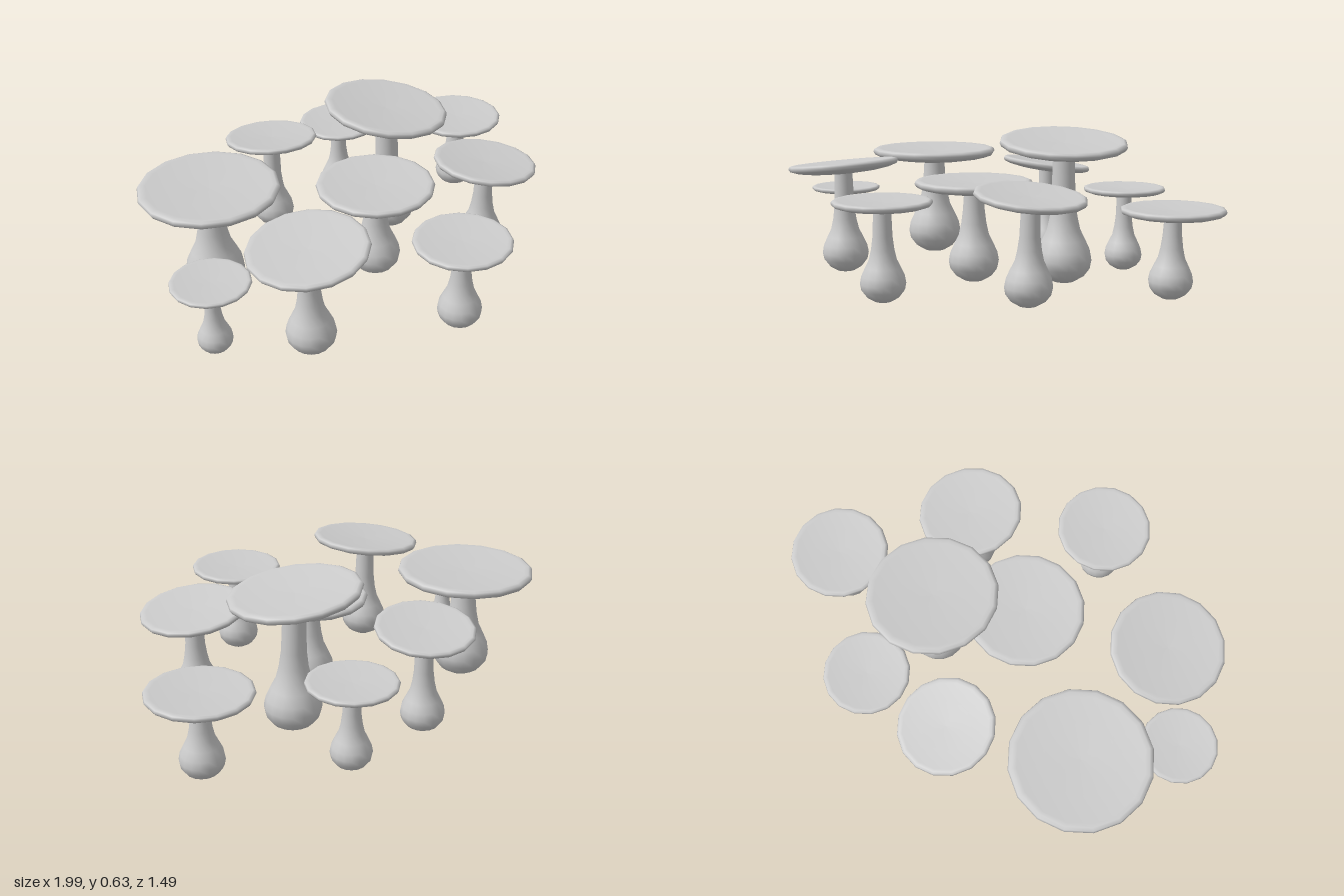
import * as THREE from 'three';

const material = new THREE.MeshStandardMaterial({ color: 0xcccccc });
const SIDES = 16;

// x, z, cap radius, rim height, cap slope along x and z, bulb radius, base offset x and z
const MUSHROOMS = [
  [-0.57, -0.35, 0.287, 0.498, 0, 0, 0.122, 0, 0],
  [-0.06, -0.55, 0.2, 0.452, -0.08, 0.12, 0.09, 0, -0.005],
  [0.355, -0.55, 0.178, 0.37, 0, 0, 0.082, 0, 0],
  [0.285, -0.18, 0.267, 0.602, -0.095, -0.087, 0.118, 0.01, 0.005],
  [0.79, -0.2, 0.207, 0.365, 0, 0, 0.088, -0.003, 0.005],
  [-0.84, -0.03, 0.157, 0.328, 0, 0, 0.07, 0, 0],
  [-0.585, 0.235, 0.237, 0.483, 0.11, 0, 0.1, 0.007, 0],
  [-0.015, 0.04, 0.247, 0.432, 0, 0, 0.106, 0, 0],
  [0.435, 0.255, 0.219, 0.44, -0.12, -0.02, 0.095, -0.01, 0],
  [-0.06, 0.545, 0.197, 0.405, 0, 0, 0.09, 0, 0],
];

function lathe(points, scale) {
  const profile = points.map(([r, y]) => new THREE.Vector2(r * scale, y * scale));
  return new THREE.LatheGeometry(profile, SIDES);
}

// Shallow dished plate with a rounded rim and a sloping underside
function makeCap(radius) {
  const cap = new THREE.Mesh(lathe([
    [0, -0.22], [0.25, -0.215], [0.6, -0.19], [0.85, -0.15], [0.97, -0.11],
    [1, -0.06], [0.985, -0.02], [0.94, 0], [0.88, -0.008], [0.5, -0.04], [0, -0.055],
  ], radius), material);
  cap.name = 'cap';
  return cap;
}

// Bulbous foot narrowing into a slim stalk; the top leans by (-dx, -dz)
function makeStem(bulb, height, dx, dz) {
  const top = height / bulb;
  const geometry = lathe([
    [0, 0], [0.38, 0.06], [0.72, 0.26], [0.94, 0.55], [1, 0.85], [0.94, 1.18],
    [0.77, 1.55], [0.6, 1.9], [0.5, 2.35], [0.43, 2.9], [0.39, top - 0.25], [0.42, top],
  ], bulb);
  const p = geometry.attributes.position;
  for (let i = 0; i < p.count; i++) {
    const k = 1 - p.getY(i) / height;
    p.setX(i, p.getX(i) + dx * k);
    p.setZ(i, p.getZ(i) + dz * k);
  }
  geometry.computeBoundingSphere();
  const stem = new THREE.Mesh(geometry, material);
  stem.name = 'stem';
  return stem;
}

export function createModel() {
  const model = new THREE.Group();
  model.name = 'mushroomCluster';
  const up = new THREE.Vector3(0, 1, 0);

  MUSHROOMS.forEach(([x, z, radius, rim, slopeX, slopeZ, bulb, dx, dz], i) => {
    const mushroom = new THREE.Group();
    mushroom.name = `mushroom${i + 1}`;
    mushroom.position.set(x, 0, z);

    const cap = makeCap(radius);
    cap.position.y = rim;
    const normal = new THREE.Vector3(-slopeX, 1, -slopeZ).normalize();
    cap.quaternion.setFromUnitVectors(up, normal);

    mushroom.add(cap, makeStem(bulb, rim - 0.14 * radius, dx, dz));
    model.add(mushroom);
  });
  return model;
}
